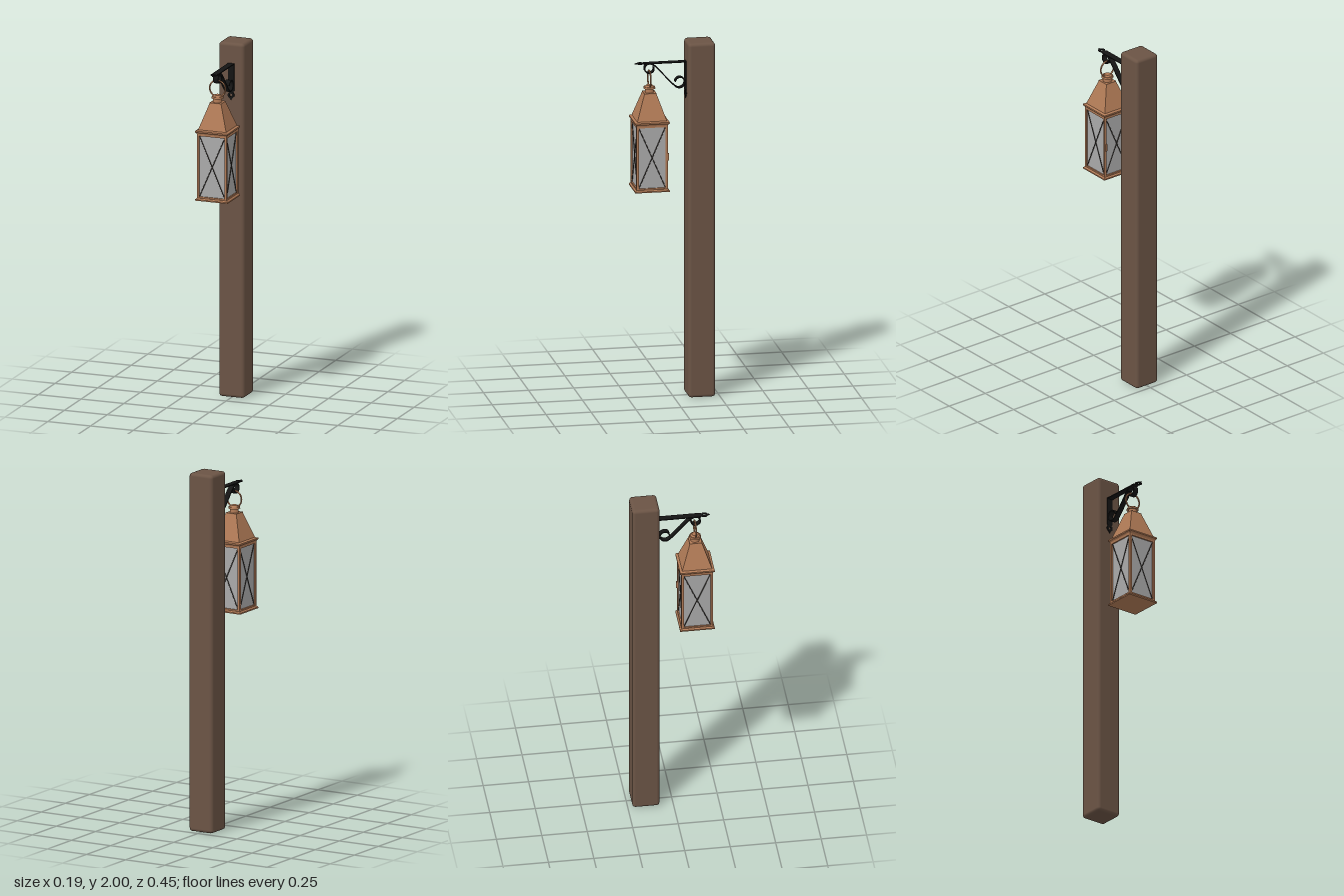
import * as THREE from 'three';
import { RoundedBoxGeometry } from 'three/addons/geometries/RoundedBoxGeometry.js';

const wood = new THREE.MeshStandardMaterial({ color: 0x6b5445 });
const copper = new THREE.MeshStandardMaterial({ color: 0xb07a56 });
const copperFlat = new THREE.MeshStandardMaterial({ color: 0xb07a56, flatShading: true });
const iron = new THREE.MeshStandardMaterial({ color: 0x141414 });
const lead = new THREE.MeshStandardMaterial({ color: 0x35302c });
const glass = new THREE.MeshStandardMaterial({ color: 0xaaaaaa });

function add(parent, name, geometry, material, x = 0, y = 0, z = 0) {
  const mesh = new THREE.Mesh(geometry, material);
  mesh.name = name;
  mesh.position.set(x, y, z);
  parent.add(mesh);
  return mesh;
}

// Square-plan solid from [half width, height] pairs, bottom to top
function squareLathe(profile) {
  const points = profile.map(([w, y]) => new THREE.Vector2(w * Math.SQRT2, y));
  return new THREE.LatheGeometry(points, 4, Math.PI / 4).toNonIndexed();
}

// Iron strap lying in xy, running up from y = 0 to an eyelet and pointed tip
function strapGeometry(length, thickness) {
  const w = 0.018, eye = length - 0.03, r = 0.019;
  const s = new THREE.Shape();
  s.moveTo(-w, 0);
  s.lineTo(w, 0);
  s.lineTo(w, eye - 0.024);
  s.lineTo(0.012, eye - 0.015);
  s.absarc(0, eye, r, -0.9, 1.2, false);
  s.lineTo(0, length);
  s.absarc(0, eye, r, Math.PI - 1.2, Math.PI + 0.9, false);
  s.lineTo(-w, eye - 0.024);
  s.closePath();
  const hole = new THREE.Path();
  hole.absarc(0, eye, 0.008, 0, Math.PI * 2, true);
  s.holes.push(hole);
  return new THREE.ExtrudeGeometry(s, { depth: thickness, bevelEnabled: false, curveSegments: 10 });
}

// Flat bar following a curve in the (z, y) plane, extruded across x
function ribbonGeometry(points, thickness, width) {
  const curve = new THREE.CatmullRomCurve3(points.map(([z, y]) => new THREE.Vector3(z, y, 0)));
  const n = 70, outer = [], inner = [];
  for (let i = 0; i <= n; i++) {
    const p = curve.getPointAt(i / n), t = curve.getTangentAt(i / n);
    const dx = -t.y * thickness / 2, dy = t.x * thickness / 2;
    outer.push(new THREE.Vector2(p.x + dx, p.y + dy));
    inner.unshift(new THREE.Vector2(p.x - dx, p.y - dy));
  }
  const g = new THREE.ExtrudeGeometry(new THREE.Shape([...outer, ...inner]), { depth: width, bevelEnabled: false });
  return g.translate(0, 0, -width / 2).rotateY(-Math.PI / 2);
}

function createBracket() {
  const bracket = new THREE.Group();
  bracket.name = 'bracket';
  add(bracket, 'bracketArm', strapGeometry(0.286, 0.005).rotateX(Math.PI / 2), iron, 0, 1.887, -0.076);
  add(bracket, 'bracketWallPlate', strapGeometry(0.207, 0.006).rotateZ(Math.PI), iron, 0, 1.885, -0.076);

  // Scroll: small lower curl, diagonal brace, large upper curl holding the ring
  const path = [];
  for (let i = 0; i <= 8; i++) {
    const a = 0.1 + i * 0.62, r = 0.024 + i * 0.0011;
    path.push([-0.037 + r * Math.cos(a), 1.772 + r * Math.sin(a)]);
  }
  path.push([-0.005, 1.757], [0.045, 1.81], [0.085, 1.855]);
  for (let i = 0; i <= 10; i++) {
    const a = 2.1 - i * 0.56 - 0.9, r = 0.029 - i * 0.0004;
    path.push([0.13 - r * Math.cos(a), 1.855 + r * Math.sin(a)]);
  }
  // Upper curl is walked over the top and round underneath
  const start = path.length - 11;
  for (let i = 0; i <= 10; i++) {
    const a = 2.2 - i * 0.56, r = 0.028 - i * 0.0003;
    path[start + i] = [0.13 + r * Math.cos(a), 1.855 + r * Math.sin(a)];
  }
  add(bracket, 'bracketScroll', ribbonGeometry(path, 0.006, 0.03), iron);
  return bracket;
}

function createLantern() {
  const lantern = new THREE.Group();
  lantern.name = 'lantern';
  const bottom = 1.19, top = 1.552, h = top - bottom, mid = (top + bottom) / 2;

  add(lantern, 'lanternBase', squareLathe([[0, 1.178], [0.095, 1.178], [0.095, 1.185], [0.087, 1.192], [0, 1.192]]), copperFlat);
  add(lantern, 'glassPanes', new THREE.BoxGeometry(0.158, h, 0.158), glass, 0, mid, 0);

  // Corner posts
  for (const x of [-1, 1]) for (const z of [-1, 1]) {
    add(lantern, 'cornerPost', new THREE.BoxGeometry(0.013, h, 0.013), copper, x * 0.0805, mid, z * 0.0805);
  }

  // Rails and crossed bars on the four sides
  for (let i = 0; i < 4; i++) {
    const side = new THREE.Group();
    side.name = 'lanternSide';
    side.rotation.y = i * Math.PI / 2;
    for (const y of [bottom + 0.005, top - 0.005]) {
      add(side, 'rail', new THREE.BoxGeometry(0.15, 0.01, 0.011), copper, 0, y, 0.081);
    }
    for (const s of [-1, 1]) {
      const bar = add(side, 'crossBar', new THREE.CylinderGeometry(0.0025, 0.0025, Math.hypot(0.148, h - 0.02), 6), lead, 0, mid, 0.081);
      bar.rotation.z = s * Math.atan2(0.148, h - 0.02);
    }
    lantern.add(side);
  }
  add(lantern, 'doorLatch', new THREE.BoxGeometry(0.01, 0.04, 0.008), copper, 0.078, mid, -0.089);

  // Flared eaves and pyramid roof
  add(lantern, 'roof', squareLathe([
    [0, 1.548], [0.086, 1.548], [0.088, 1.556], [0.095, 1.563], [0.095, 1.571],
    [0.082, 1.576], [0.034, 1.716], [0.034, 1.721], [0, 1.721],
  ]), copperFlat);

  // Chimney neck and round cap
  add(lantern, 'neck', new THREE.CylinderGeometry(0.023, 0.025, 0.03, 20), copper, 0, 1.732, 0);
  add(lantern, 'cap', new THREE.CylinderGeometry(0.031, 0.033, 0.01, 24), copper, 0, 1.748, 0);
  add(lantern, 'capTop', new THREE.CylinderGeometry(0.018, 0.026, 0.009, 24), copper, 0, 1.757, 0);

  // Carrying ring
  add(lantern, 'carryingRing', new THREE.TorusGeometry(0.046, 0.0045, 8, 36), copper, 0, 1.796, 0);
  lantern.position.z = 0.129;
  return lantern;
}

export function createModel() {
  const model = new THREE.Group();
  model.name = 'lanternPost';
  add(model, 'post', new RoundedBoxGeometry(0.15, 2, 0.15, 2, 0.018), wood, 0, 1, -0.15);
  model.add(createBracket(), createLantern());
  return model;
}
